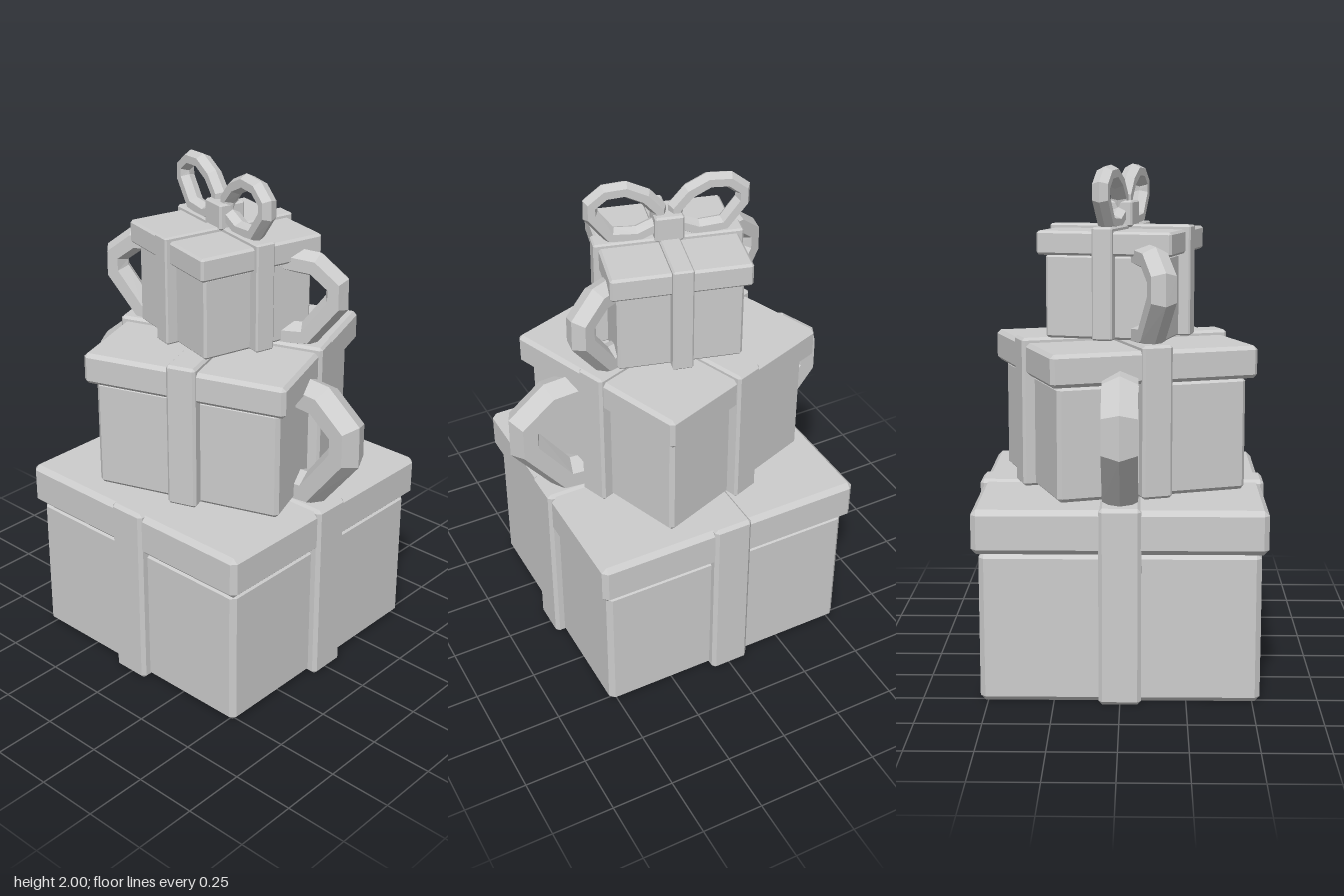
import * as THREE from 'three';
import { ConvexGeometry } from 'three/addons/geometries/ConvexGeometry.js';

const paper = new THREE.MeshStandardMaterial({ color: 0xcccccc, flatShading: true });
paper.name = 'plain grey';

// Box with bevelled edges, standing between heights y0 and y1
function bevelBox(name, hx, hz, y0, y1, c) {
  const hy = (y1 - y0) / 2;
  const pts = [];
  for (const sx of [-1, 1]) for (const sy of [-1, 1]) for (const sz of [-1, 1]) {
    pts.push(
      new THREE.Vector3(sx * hx, sy * (hy - c), sz * (hz - c)),
      new THREE.Vector3(sx * (hx - c), sy * hy, sz * (hz - c)),
      new THREE.Vector3(sx * (hx - c), sy * (hy - c), sz * hz));
  }
  const mesh = new THREE.Mesh(new ConvexGeometry(pts), paper);
  mesh.name = name;
  mesh.position.y = (y0 + y1) / 2;
  return mesh;
}

// Centre line of one bow loop, counter-clockwise in the xy plane
const LOOP = [
  [0.07, 0.10], [0.25, 0.02], [0.47, 0.04], [0.62, 0.235], [0.62, 0.335],
  [0.505, 0.425], [0.34, 0.435], [0.18, 0.355], [0.07, 0.23],
];

// Closed six-sided tube along the loop
function loopGeometry() {
  const n = LOOP.length, sides = 6, pos = [], idx = [];
  for (let i = 0; i < n; i++) {
    const [ax, ay] = LOOP[(i + n - 1) % n], [bx, by] = LOOP[(i + 1) % n];
    const d = Math.hypot(bx - ax, by - ay);
    const nx = (by - ay) / d, ny = -(bx - ax) / d;
    for (let j = 0; j < sides; j++) {
      const a = (j / sides) * Math.PI * 2;
      const r = 0.069 * Math.cos(a);
      pos.push(LOOP[i][0] + nx * r, LOOP[i][1] + ny * r, 0.078 * Math.sin(a));
      const k = (j + 1) % sides, m = (i + 1) % n;
      const p = i * sides + j, q = i * sides + k, s = m * sides + j, t = m * sides + k;
      idx.push(p, s, q, q, s, t);
    }
  }
  const g = new THREE.BufferGeometry();
  g.setAttribute('position', new THREE.Float32BufferAttribute(pos, 3));
  g.setIndex(idx);
  g.computeVertexNormals();
  return g;
}

// Bow: two loops and a knot
function makeBow(scale, y) {
  const bow = new THREE.Group();
  bow.name = 'bow';
  const geo = loopGeometry();
  for (const [name, turn] of [['leftLoop', 0], ['rightLoop', Math.PI]]) {
    const loop = new THREE.Mesh(geo, paper);
    loop.name = name;
    loop.rotation.y = turn;
    bow.add(loop);
  }
  bow.add(bevelBox('knot', 0.12, 0.12, -0.02, 0.2, 0.015));
  bow.scale.setScalar(scale);
  bow.position.y = y;
  return bow;
}

// Gift box: body, lid, crossed ribbons and bow
function makeGift(p) {
  const gift = new THREE.Group();
  gift.name = p.name;
  const c = 0.02 * p.scale;
  gift.add(bevelBox('body', p.body, p.body, p.y, p.lidY, c));
  gift.add(bevelBox('lid', p.lid, p.lid, p.lidY, p.lidTop, c));
  gift.add(bevelBox('ribbonFrontBack', p.ribbon, p.reach, p.y, p.top, c * 0.7));
  gift.add(bevelBox('ribbonSides', p.reach, p.ribbon, p.y, p.top, c * 0.7));
  gift.add(makeBow(p.scale, p.top));
  gift.rotation.y = THREE.MathUtils.degToRad(p.turn);
  return gift;
}

export function createModel() {
  const model = new THREE.Group();
  model.name = 'giftStack';
  const gifts = [
    { name: 'largeGift', scale: 1, turn: 0, y: 0, lidY: 0.58, lidTop: 0.75, top: 0.76,
      body: 0.53, lid: 0.555, ribbon: 0.08, reach: 0.567 },
    { name: 'mediumGift', scale: 0.74, turn: 19.5, y: 0.76, lidY: 1.2, lidTop: 1.325, top: 1.345,
      body: 0.378, lid: 0.412, ribbon: 0.06, reach: 0.426 },
    { name: 'smallGift', scale: 0.46, turn: -15, y: 1.345, lidY: 1.665, lidTop: 1.757, top: 1.773,
      body: 0.239, lid: 0.266, ribbon: 0.04, reach: 0.285 },
  ];
  for (const g of gifts) model.add(makeGift(g));
  return model;
}
